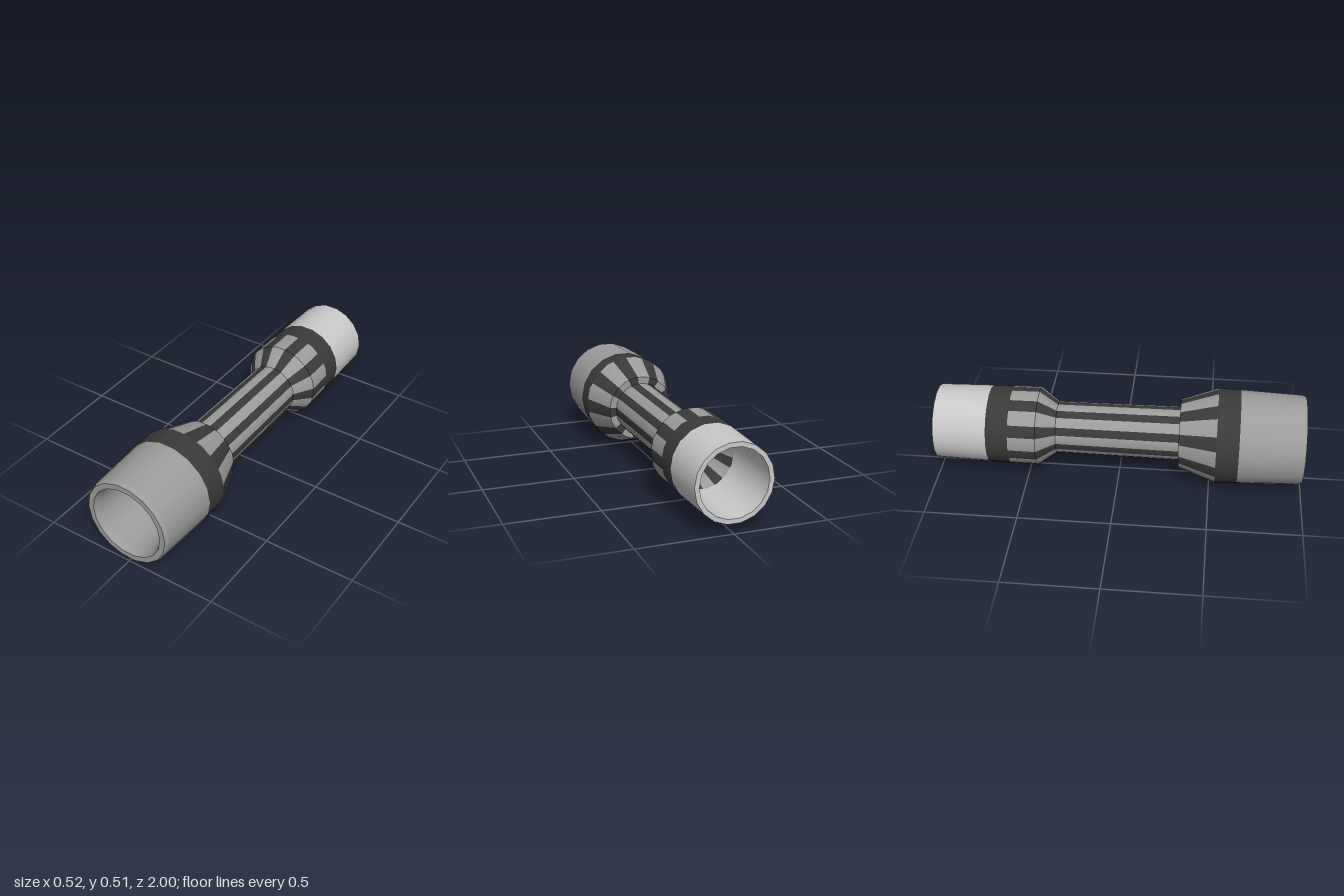
import * as THREE from 'three';

const SIDES = 18, STEP = 360 / SIDES;
const STRIPES = 9, STRIPE_CENTRE = -7, STRIPE_WIDTH = 22;
const AXIS_Y = 0.255;

const wrap = (a, m) => ((a % m) + m) % m;
const inStripe = (deg) => wrap(deg - STRIPE_CENTRE + STRIPE_WIDTH / 2, 360 / STRIPES) < STRIPE_WIDTH;

// Angles of the polygon corners together with the stripe borders
function ringAngles() {
  const list = [];
  for (let i = 0; i < SIDES; i++) list.push(STEP / 2 + i * STEP);
  for (let i = 0; i < STRIPES; i++) {
    const c = STRIPE_CENTRE + i * 360 / STRIPES;
    list.push(wrap(c - STRIPE_WIDTH / 2, 360), wrap(c + STRIPE_WIDTH / 2, 360));
  }
  list.sort((a, b) => a - b);
  return [...list, list[0] + 360];
}
const ANGLES = ringAngles();

// Sweeps a [z, radius] profile round the axis, keeping the cells that pass the filter.
// Shading is smooth around the ring and creased between profile points.
function ringGeometry(profile, keep) {
  const pos = [], nor = [], index = [];
  const rad = Math.PI / 180;
  const chord = (deg) => Math.cos(STEP / 2 * rad) / Math.cos((wrap(deg + STEP / 2, STEP) - STEP / 2) * rad);
  for (let p = 0; p < profile.length - 1; p++) {
    const [z0, r0] = profile[p], [z1, r1] = profile[p + 1];
    const len = Math.hypot(z1 - z0, r1 - r0);
    const nr = (z0 - z1) / len, nz = (r1 - r0) / len;
    for (let i = 0; i < ANGLES.length - 1; i++) {
      const a0 = ANGLES[i], a1 = ANGLES[i + 1];
      if (a1 - a0 < 1e-6 || !keep((a0 + a1) / 2)) continue;
      const n = pos.length / 3;
      for (const [z, r] of [[z0, r0], [z1, r1]]) {
        for (const a of [a0, a1]) {
          const s = Math.sin(a * rad), c = Math.cos(a * rad), k = r * chord(a);
          pos.push(s * k, c * k, z);
          nor.push(s * nr, c * nr, nz);
        }
      }
      index.push(n, n + 1, n + 2, n + 1, n + 3, n + 2);
    }
  }
  const g = new THREE.BufferGeometry();
  g.setAttribute('position', new THREE.Float32BufferAttribute(pos, 3));
  g.setAttribute('normal', new THREE.Float32BufferAttribute(nor, 3));
  g.setIndex(index);
  return g;
}

export function createModel() {
  const material = (name, color) => {
    const m = new THREE.MeshStandardMaterial({ color });
    m.name = name;
    return m;
  };
  const steel = material('steel grey', 0x9c9c9c);
  const bright = material('bright steel', 0xc8c8c8);
  const dark = material('dark grey', 0x3a3a3a);

  const model = new THREE.Group();
  model.name = 'hollowSocket';
  const add = (name, profile, mat, keep = () => true) => {
    const mesh = new THREE.Mesh(ringGeometry(profile, keep), mat);
    mesh.name = name;
    mesh.position.y = AXIS_Y;
    model.add(mesh);
  };
  const addStriped = (name, profile) => {
    add(name + 'Stripes', profile, steel, inStripe);
    add(name + 'Gaps', profile, dark, (a) => !inStripe(a));
  };

  // Wide front head: bore, rim and outer sleeve
  add('frontSleeve', [[0.56, 0.172], [0.96, 0.195], [1, 0.205], [1, 0.236], [0.98, 0.244], [0.65, 0.256]], steel);
  add('frontBand', [[0.65, 0.256], [0.53, 0.259]], dark);
  addStriped('frontTaper', [[0.53, 0.259], [0.33, 0.187], [0.33, 0.148]]);

  // Slim shaft flaring into the rear head
  addStriped('shaft', [[0.33, 0.148], [-0.34, 0.142], [-0.44, 0.216], [-0.59, 0.214]]);
  add('rearBand', [[-0.59, 0.214], [-0.71, 0.212]], dark);

  // Narrow rear head: outer sleeve, rim and bore
  add('rearSleeve', [[-0.71, 0.212], [-1, 0.205], [-1, 0.18], [-0.6, 0.172]], bright);

  // Striped passage joining both bores
  addStriped('innerPassage', [[-0.6, 0.172], [-0.44, 0.108], [0.33, 0.108], [0.56, 0.172]]);

  return model;
}
